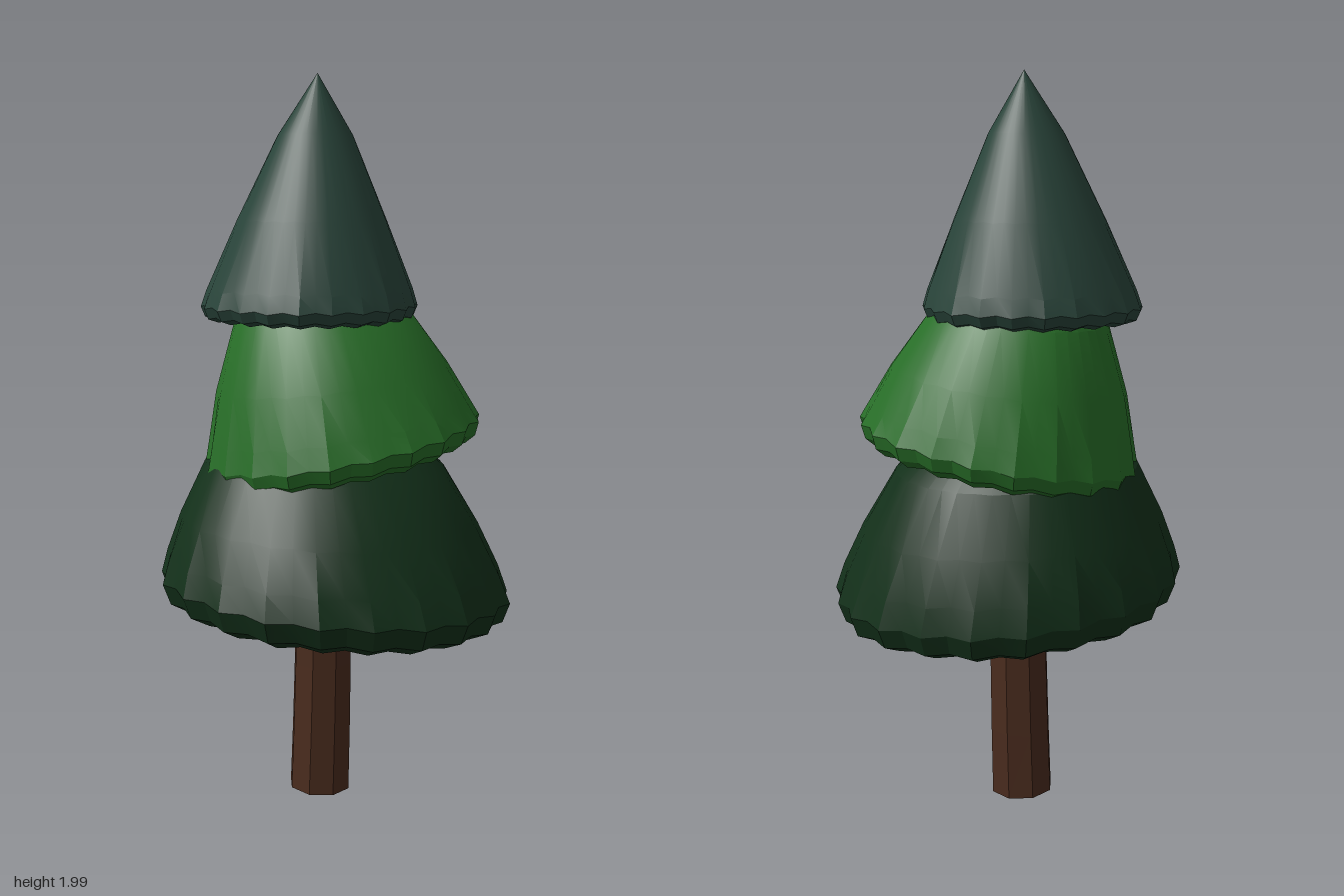
import * as THREE from 'three';
import { toCreasedNormals } from 'three/addons/utils/BufferGeometryUtils.js';

const SCALLOPS = 22;

// One skirt of branches: a lathe whose rim is scalloped, tilted and offset.
// profile: [radius, height] from the underside centre up to the tip.
function foliage({ name, color, profile, rimY, tipY, base, tip, tilt, wave, phase }) {
  const points = profile.map(([r, y]) => new THREE.Vector2(r, y));
  const geometry = new THREE.LatheGeometry(points, SCALLOPS * 2);
  const p = geometry.attributes.position;
  for (let i = 0; i < p.count; i++) {
    const x = p.getX(i), y = p.getY(i), z = p.getZ(i);
    const a = Math.atan2(z, x), r = Math.hypot(x, z);
    const up = THREE.MathUtils.clamp((y - rimY) / (tipY - rimY), 0, 1);
    // folds are strongest at the rim and fade upwards
    const fold = Math.cos(SCALLOPS * a) * (1 - up) ** 2;
    const uneven = Math.sin(3 * a + phase) * 0.01 + Math.sin(7 * a + phase * 2 + y * 9) * 0.008;
    const s = 1 + wave * fold + uneven * (1 - up);
    const rim = Math.min(1, r / 0.25) * (1 - up);
    p.setXYZ(i,
      x * s + THREE.MathUtils.lerp(base[0], tip[0], up),
      y + tilt[0] * x * (1 - up) + tilt[1] * z * (1 - up) - 0.006 * rim * Math.cos(SCALLOPS * a + 1),
      z * s + THREE.MathUtils.lerp(base[1], tip[1], up));
  }
  const mesh = new THREE.Mesh(toCreasedNormals(geometry, 0.35), new THREE.MeshStandardMaterial({ color }));
  mesh.name = name;
  return mesh;
}

// Eight-sided trunk with a slight bend
function trunk() {
  const geometry = new THREE.CylinderGeometry(0.08, 0.088, 0.75, 8, 4);
  geometry.rotateY(Math.PI / 8);
  geometry.translate(0, 0.385, 0);
  const p = geometry.attributes.position;
  for (let i = 0; i < p.count; i++) {
    const y = p.getY(i);
    const bend = 0.012 * Math.sin(Math.min(1, y / 0.6) * Math.PI / 2);
    const foot = y < 0.05 ? -0.05 * p.getX(i) : 0;
    p.setXYZ(i, p.getX(i) - 0.042 + bend, y + foot, p.getZ(i) - 0.03);
  }
  const mesh = new THREE.Mesh(geometry, new THREE.MeshStandardMaterial({ color: 0x4a2c1e, flatShading: true }));
  mesh.name = 'trunk';
  return mesh;
}

export function createModel() {
  const group = new THREE.Group();
  group.name = 'pineTree';
  group.add(
    trunk(),
    foliage({
      name: 'lowerBranches', color: 0x13301a,
      profile: [[0, 0.56], [0.22, 0.555], [0.4, 0.548], [0.455, 0.575], [0.475, 0.63],
        [0.455, 0.7], [0.41, 0.81], [0.33, 0.96], [0.2, 1.08], [0, 1.16]],
      rimY: 0.63, tipY: 1.16, base: [0, 0], tip: [-0.04, -0.05],
      tilt: [-0.08, 0.02], wave: 0.016, phase: 0.6,
    }),
    foliage({
      name: 'middleBranches', color: 0x286e28,
      profile: [[0, 1.0], [0.2, 0.985], [0.335, 0.972], [0.362, 0.99], [0.373, 1.025],
        [0.355, 1.08], [0.315, 1.2], [0.24, 1.36], [0.13, 1.48], [0, 1.56]],
      rimY: 1.02, tipY: 1.56, base: [0.02, -0.03], tip: [-0.06, -0.05],
      tilt: [0.18, 0], wave: 0.016, phase: 2.1,
    }),
    foliage({
      name: 'topBranches', color: 0x29443a,
      profile: [[0, 1.385], [0.18, 1.375], [0.25, 1.358], [0.278, 1.368], [0.289, 1.395],
        [0.275, 1.44], [0.2, 1.62], [0.1, 1.84], [0, 2.0]],
      rimY: 1.395, tipY: 2.0, base: [-0.065, -0.028], tip: [-0.042, -0.03],
      tilt: [0, 0], wave: 0.014, phase: 4,
    }),
  );
  return group;
}
